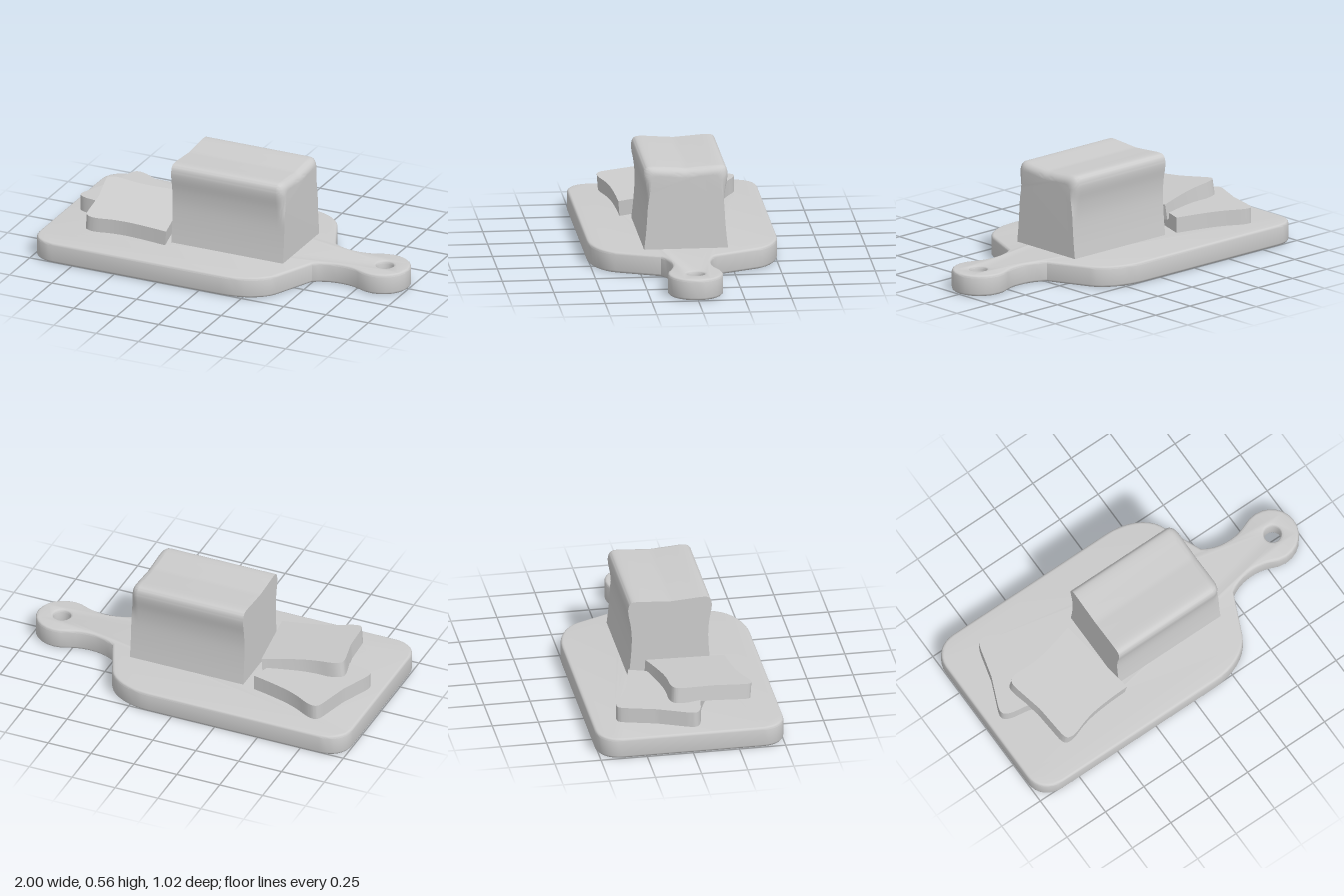
import * as THREE from 'three';
import { toCreasedNormals } from 'three/addons/utils/BufferGeometryUtils.js';

const CREASE = 0.6;
const BOARD_TOP = 0.115;
const THICKNESS = 0.085; // of a slice

const material = new THREE.MeshStandardMaterial({ color: 0xcccccc });

function addMesh(parent, name, geometry) {
  const mesh = new THREE.Mesh(toCreasedNormals(geometry, CREASE), material);
  mesh.name = name;
  parent.add(mesh);
  return mesh;
}

// Board outline: one half drawn from the left end to the handle tip, then mirrored
function boardGeometry() {
  const half = new THREE.Shape();
  half.moveTo(-1, -0.38);
  half.bezierCurveTo(-1, -0.46, -0.94, -0.51, -0.86, -0.51);
  half.lineTo(0.13, -0.51);
  half.bezierCurveTo(0.25, -0.51, 0.36, -0.46, 0.4, -0.38);
  half.lineTo(0.5, -0.15);
  half.bezierCurveTo(0.57, -0.1, 0.68, -0.09, 0.76, -0.125);
  half.bezierCurveTo(0.88, -0.19, 1, -0.11, 1, 0);
  const points = half.getPoints(8);
  const mirrored = points.slice(0, -1).reverse().map((p) => new THREE.Vector2(p.x, -p.y));
  const shape = new THREE.Shape([...points, ...mirrored]);

  const hole = new THREE.Path();
  hole.absarc(0.86, 0, 0.046, 0, Math.PI * 2, true);
  shape.holes.push(hole);

  const bevel = 0.014;
  const geometry = new THREE.ExtrudeGeometry(shape, {
    depth: BOARD_TOP - 2 * bevel,
    bevelThickness: bevel,
    bevelSize: bevel,
    bevelOffset: -bevel,
    bevelSegments: 3,
    curveSegments: 10,
  });
  return geometry.rotateX(-Math.PI / 2).translate(0, bevel, 0);
}

// Bread cross-section: pinched sides, rounded shoulders, shallow dip on top
function breadShape() {
  const right = new THREE.SplineCurve([
    [0.225, 0], [0.214, 0.1], [0.207, 0.215], [0.212, 0.3], [0.225, 0.375],
    [0.225, 0.415], [0.212, 0.441], [0.18, 0.449], [0.1, 0.444], [0, 0.437],
  ].map(([x, y]) => new THREE.Vector2(x, y))).getPoints(36);
  const left = right.slice(0, -1).reverse().map((p) => new THREE.Vector2(-p.x, p.y));
  return new THREE.Shape([...right, ...left]);
}

// Loaf: cut flat at one end, crust edge rounding over at the upper part of the other
function loafGeometry() {
  const steps = 8;
  const start = -0.295;
  const end = 0.365;
  const geometry = new THREE.ExtrudeGeometry(breadShape(), { depth: 1, steps, bevelEnabled: false });
  const position = geometry.attributes.position;
  for (let i = 0; i < position.count; i++) {
    const x = position.getX(i);
    const y = position.getY(i);
    const step = Math.round(position.getZ(i) * steps);
    const radius = 0.045 * THREE.MathUtils.smoothstep(y, 0.2, 0.43);
    const angle = (Math.max(step - 1, 0) / (steps - 1)) * (Math.PI / 2);
    const inset = radius * (1 - Math.cos(angle));
    const along = step === 0 ? start : end - 0.045 + (0.045 - radius) * (step - 1) / (steps - 1) + radius * Math.sin(angle);
    const drop = inset * THREE.MathUtils.smoothstep(y, 0.36, 0.44);
    position.setXYZ(i, x * (1 - inset / 0.225), y - drop, along);
  }
  // Length runs along +x
  return geometry.rotateY(Math.PI / 2).translate(0, BOARD_TOP, 0);
}

// Slice lying down: 'up' points from its base to its crown, 'across' along its width
function addSlice(parent, name, center, up, across) {
  const geometry = new THREE.ExtrudeGeometry(breadShape(), { depth: THICKNESS, bevelEnabled: false });
  geometry.translate(0, -0.225, -THICKNESS / 2);
  const u = new THREE.Vector3(...up).normalize();
  const w = new THREE.Vector3(...across);
  w.addScaledVector(u, -w.dot(u)).normalize();
  const normal = new THREE.Vector3().crossVectors(w, u);
  geometry.applyMatrix4(new THREE.Matrix4().makeBasis(w, u, normal).setPosition(...center));
  addMesh(parent, name, geometry);
}

export function createModel() {
  const group = new THREE.Group();
  group.name = 'breadBoard';

  addMesh(group, 'cuttingBoard', boardGeometry());
  addMesh(group, 'loaf', loafGeometry());

  addSlice(group, 'lowerSlice', [-0.65, BOARD_TOP + THICKNESS / 2, -0.1], [-0.41, 0, -0.14], [0.14, 0, -0.41]);
  // The upper slice leans on the lower one
  addSlice(group, 'upperSlice', [-0.555, 0.207, 0.11], [-0.445, 0.042, 0.08], [-0.09, 0.048, -0.44]);

  return group;
}
